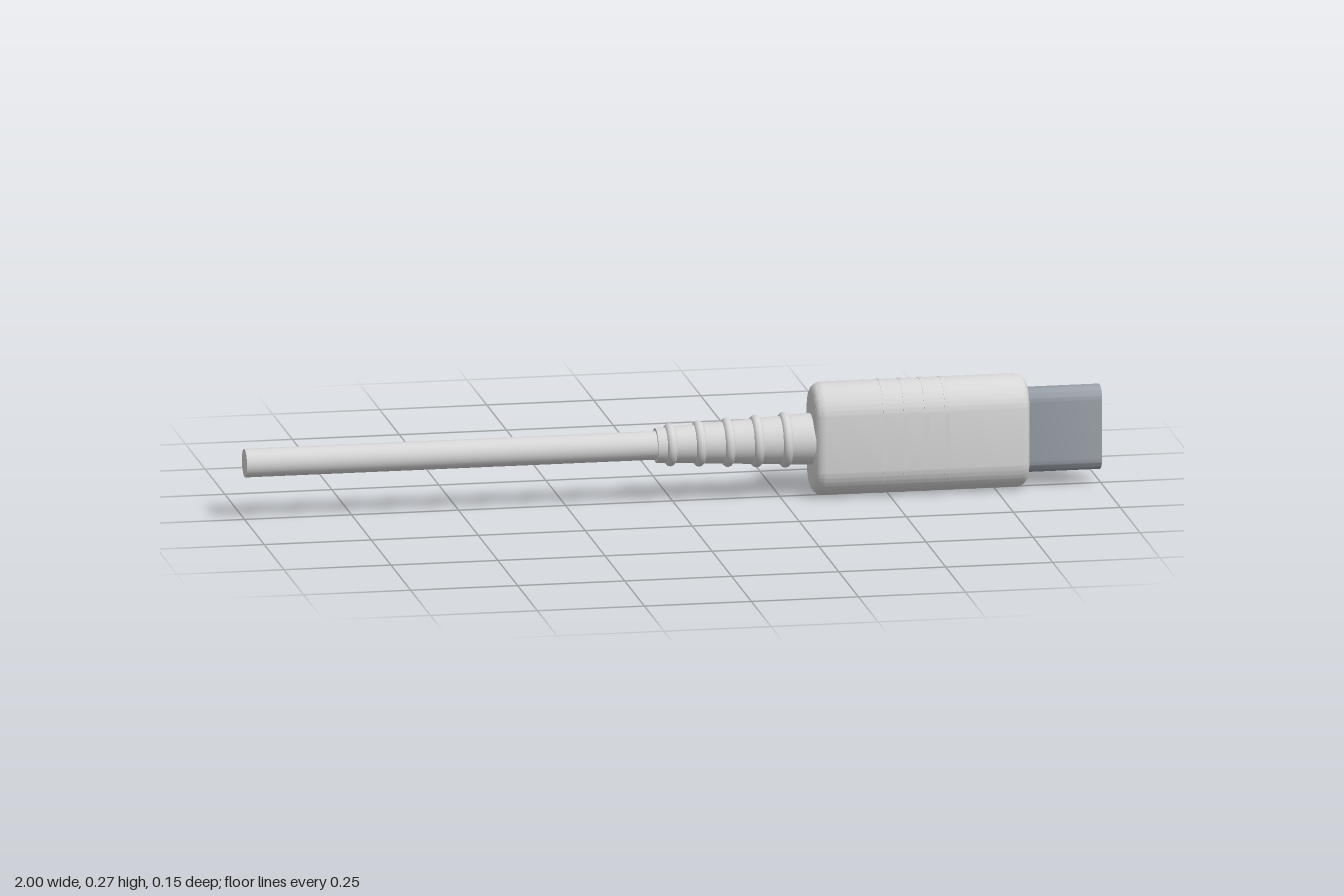
import * as THREE from 'three';
import { toCreasedNormals } from 'three/addons/utils/BufferGeometryUtils.js';

const AXIS_Y = 0.133;

// Upright capsule outline, centred on the origin
function capsule(halfWidth, halfHeight) {
  const s = new THREE.Shape();
  const c = halfHeight - halfWidth;
  s.absarc(0, c, halfWidth, 0, Math.PI, false);
  s.absarc(0, -c, halfWidth, Math.PI, Math.PI * 2, false);
  s.closePath();
  return s;
}

// Capsule section extruded along x from x0 to x1 with rounded ends
function capsuleBar(halfWidth, halfHeight, x0, x1, bevel) {
  const g = new THREE.ExtrudeGeometry(capsule(halfWidth - bevel, halfHeight - bevel), {
    depth: x1 - x0 - 2 * bevel,
    curveSegments: 20,
    bevelEnabled: bevel > 0,
    bevelSize: bevel,
    bevelThickness: bevel,
    bevelSegments: 5,
  });
  g.translate(0, 0, x0 + bevel);
  g.rotateY(Math.PI / 2);
  return toCreasedNormals(g, 0.6);
}

export function createModel() {
  const model = new THREE.Group();
  model.name = 'cablePlug';

  const plastic = new THREE.MeshStandardMaterial({ color: 0xd6d6d6 });
  plastic.name = 'light grey plastic';
  const metal = new THREE.MeshStandardMaterial({ color: 0x9aa0a8 });
  metal.name = 'grey metal';
  const dark = new THREE.MeshStandardMaterial({ color: 0x1c1c1e });
  dark.name = 'black slot';

  const add = (name, geometry, material) => {
    const m = new THREE.Mesh(geometry, material);
    m.name = name;
    m.position.y = AXIS_Y;
    model.add(m);
    return m;
  };

  // Round part along x, r0 at x0 to r1 at x1
  const rod = (r0, r1, x0, x1) =>
    new THREE.CylinderGeometry(r1, r0, x1 - x0, 32)
      .rotateZ(-Math.PI / 2)
      .translate((x0 + x1) / 2, 0, 0);

  add('cable', rod(0.033, 0.033, -1, 0), plastic);

  // Tapered strain relief with raised rings
  const reliefStart = -0.04, reliefEnd = 0.33;
  const reliefRadius = (x) =>
    THREE.MathUtils.mapLinear(x, reliefStart, reliefEnd, 0.04, 0.06);
  add('strainRelief', rod(0.04, 0.06, reliefStart, reliefEnd), plastic);
  for (let i = 0; i < 5; i++) {
    const x = -0.007 + i * 0.067;
    const ring = new THREE.TorusGeometry(reliefRadius(x) - 0.004, 0.012, 12, 40);
    ring.rotateY(Math.PI / 2).translate(x, 0, 0);
    add('reliefRing' + (i + 1), ring, plastic);
  }

  // Plug housing with faint grip ridges
  add('housing', capsuleBar(0.072, 0.132, 0.322, 0.825, 0.025), plastic);
  for (let i = 0; i < 4; i++) {
    const x = 0.484 + i * 0.048;
    add('gripRidge' + (i + 1), capsuleBar(0.073, 0.133, x - 0.005, x + 0.005, 0), plastic);
  }

  // Metal connector shell and its opening
  add('connector', capsuleBar(0.031, 0.1, 0.8, 0.998, 0.002), metal);
  add('connectorSlot', capsuleBar(0.011, 0.072, 0.994, 1, 0), dark);

  return model;
}
